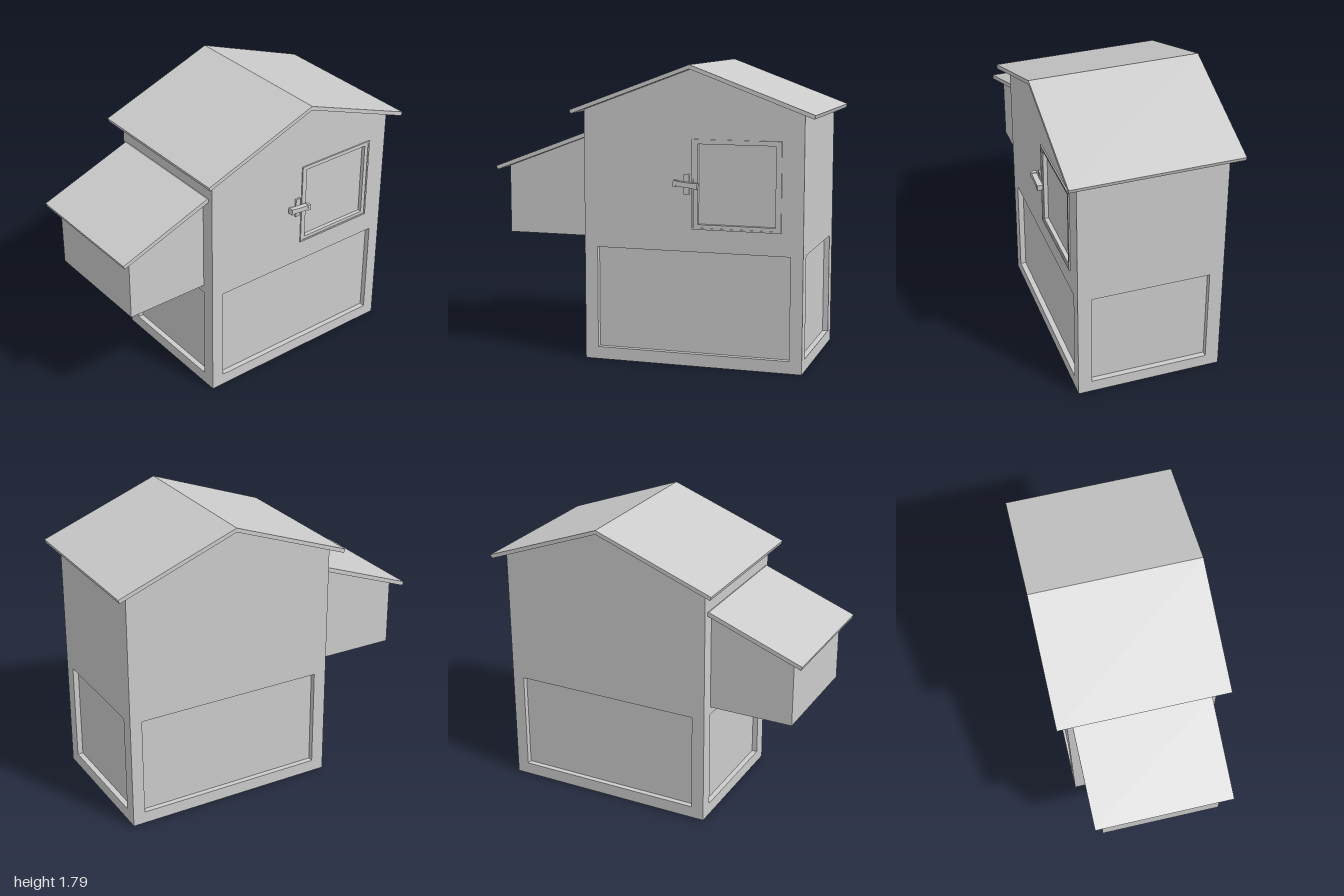
import * as THREE from 'three';

const mat = new THREE.MeshStandardMaterial({ color: 0xcccccc });
const W = 0.447, T = 0.08;            // half width of the house, frame thickness
const FRONT = 0.41, BACK = -0.925, RIDGE = -0.26;

const points = (list) => list.map(([a, b]) => new THREE.Vector2(a, b));
const rect = (a0, a1, y0, y1) => [[a0, y0], [a1, y0], [a1, y1], [a0, y1]];

// Flat outline with optional holes, extruded along z
function slab(outline, depth, holes = []) {
  const shape = new THREE.Shape(points(outline));
  for (const h of holes) shape.holes.push(new THREE.Path(points(h)));
  return new THREE.ExtrudeGeometry(shape, { depth, bevelEnabled: false });
}

// Outline drawn in (z, y), extruded across x from x0 to x1
function crossSlab(outline, x0, x1, holes) {
  return slab(outline, x1 - x0, holes).rotateY(-Math.PI / 2).translate(x1, 0, 0);
}

export function createModel() {
  const group = new THREE.Group();
  const add = (name, geometry, parent = group) => {
    const mesh = new THREE.Mesh(geometry, mat);
    mesh.name = name;
    parent.add(mesh);
    return mesh;
  };
  const box = (name, x0, x1, y0, y1, z0, z1) => add(name,
    new THREE.BoxGeometry(x1 - x0, y1 - y0, z1 - z0)
      .translate((x0 + x1) / 2, (y0 + y1) / 2, (z0 + z1) / 2));

  // Gabled side walls with a low run opening; the left-hand wall also has the door
  const gable = [[BACK, 0], [FRONT, 0], [FRONT, 1.513], [RIDGE, 1.762], [BACK, 1.513]];
  const sideHole = rect(-0.85, 0.33, 0.075, 0.69);
  const doorHole = rect(-0.795, -0.26, 0.825, 1.355);
  add('doorSideWall', crossSlab(gable, W - T, W, [sideHole, doorHole]));
  add('plainSideWall', crossSlab(gable, -W, -W + T, [sideHole]));

  // Front and back walls, fitted between the sides
  const endHole = rect(-0.365, 0.365, 0.075, 0.69);
  const endWall = rect(-W + T, W - T, 0, 1.513);
  endHole.forEach((p) => { p[0] = Math.sign(p[0]) * 0.362; });
  add('frontWall', slab(endWall, T, [endHole]).translate(0, 0, FRONT - T));
  add('backWall', slab(endWall, T, [endHole]).translate(0, 0, BACK));

  // Recessed run panels
  for (const s of [-1, 1]) {
    const a = s * (W - 0.034), b = s * (W - 0.046);
    box('sidePanel', Math.min(a, b), Math.max(a, b), 0.07, 0.7, -0.86, 0.34);
  }
  box('frontPanel', -0.37, 0.37, 0.07, 0.7, FRONT - 0.046, FRONT - 0.034);
  box('backPanel', -0.37, 0.37, 0.07, 0.7, BACK + 0.034, BACK + 0.046);

  // Raised floor and the ramp leading up to it
  box('floor', -W + T, W - T, 0.69, 0.72, BACK + T, FRONT - T);
  add('ramp', crossSlab([[-0.09, 0.01], [-0.075, 0.022], [-0.655, 0.69], [-0.685, 0.69]], -0.325, -0.055));

  // Main roof
  add('roof', crossSlab([
    [0.478, 1.513], [RIDGE, 1.787], [-0.998, 1.513],
    [-0.99, 1.49], [RIDGE, 1.762], [0.47, 1.49],
  ].reverse(), -0.512, 0.512));

  // Nest box with its sloping lid
  add('nestBox', crossSlab([[FRONT, 0.74], [0.93, 0.74], [0.93, 1.152], [FRONT, 1.348]], -0.362, 0.362));
  add('nestLid', crossSlab([[FRONT, 1.348], [0.992, 1.13], [1, 1.153], [0.418, 1.373], [FRONT, 1.37]], -0.415, 0.415));

  // Door: slim frame standing just proud of the wall, with a recessed leaf
  const door = new THREE.Group();
  door.name = 'door';
  group.add(door);
  add('doorTrim', crossSlab(doorHole, 0.39, 0.455, [rect(-0.785, -0.27, 0.835, 1.345)]), door);
  add('doorFrame', crossSlab(rect(-0.785, -0.27, 0.835, 1.345), 0.39, 0.45,
    [rect(-0.76, -0.295, 0.855, 1.327)]), door);
  add('doorPanel', crossSlab(rect(-0.77, -0.285, 0.845, 1.337), 0.405, 0.425), door);

  // Turn latch on its mounting plate
  box('latchPlate', W - 0.005, 0.458, 1.03, 1.15, -0.245, -0.212);
  const latch = new THREE.Group();
  latch.name = 'latch';
  latch.position.set(0.473, 1.09, -0.228);
  latch.rotation.x = -0.1;
  group.add(latch);
  add('latchBar', new THREE.BoxGeometry(0.032, 0.03, 0.13), latch);
  for (const s of [-1, 1]) {
    add('latchEnd', new THREE.BoxGeometry(0.036, 0.037, 0.02).translate(0, 0, s * 0.063), latch);
  }
  return group;
}
